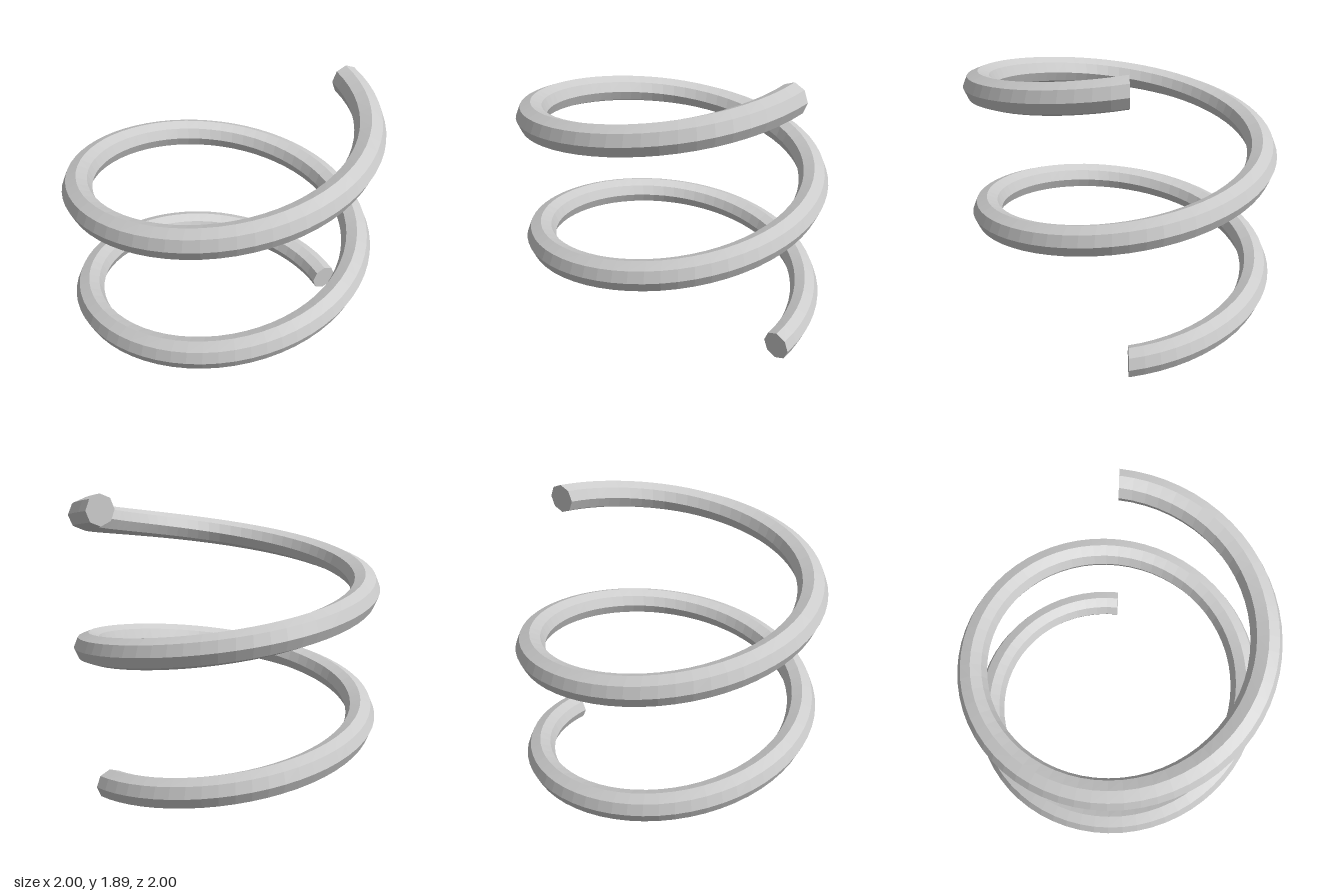
import * as THREE from 'three';

const COIL_RADIUS = 0.905, WIRE_RADIUS = 0.095;
const TURNS = 2, PITCH = 0.85, SIDES = 8, STEPS = 64 * TURNS;

// Point on the wire: the octagonal section stays in the vertical radial plane.
function wirePoint(step, side, radius = WIRE_RADIUS) {
  const t = (step / STEPS) * TURNS;
  const turn = t * Math.PI * 2;
  const a = (side / SIDES) * Math.PI * 2;
  const r = COIL_RADIUS + radius * Math.cos(a);
  return [r * Math.cos(turn), WIRE_RADIUS + t * PITCH + radius * Math.sin(a), -r * Math.sin(turn)];
}

function coilGeometry() {
  const positions = [];
  const triangle = (...corners) => corners.forEach((c) => positions.push(...c));

  // Skin between successive sections
  for (let i = 0; i < STEPS; i++) {
    for (let j = 0; j < SIDES; j++) {
      const a = wirePoint(i, j), b = wirePoint(i, j + 1);
      const c = wirePoint(i + 1, j + 1), d = wirePoint(i + 1, j);
      triangle(a, d, c);
      triangle(a, c, b);
    }
  }

  // Flat cut ends
  for (let j = 0; j < SIDES; j++) {
    triangle(wirePoint(0, 0, 0), wirePoint(0, j), wirePoint(0, j + 1));
    triangle(wirePoint(STEPS, 0, 0), wirePoint(STEPS, j + 1), wirePoint(STEPS, j));
  }

  const geometry = new THREE.BufferGeometry();
  geometry.setAttribute('position', new THREE.Float32BufferAttribute(positions, 3));
  geometry.computeVertexNormals();
  return geometry;
}

export function createModel() {
  const group = new THREE.Group();
  group.name = 'spring';
  const material = new THREE.MeshStandardMaterial({ color: 0xcccccc, flatShading: true });
  const coil = new THREE.Mesh(coilGeometry(), material);
  coil.name = 'coil';
  group.add(coil);
  return group;
}
